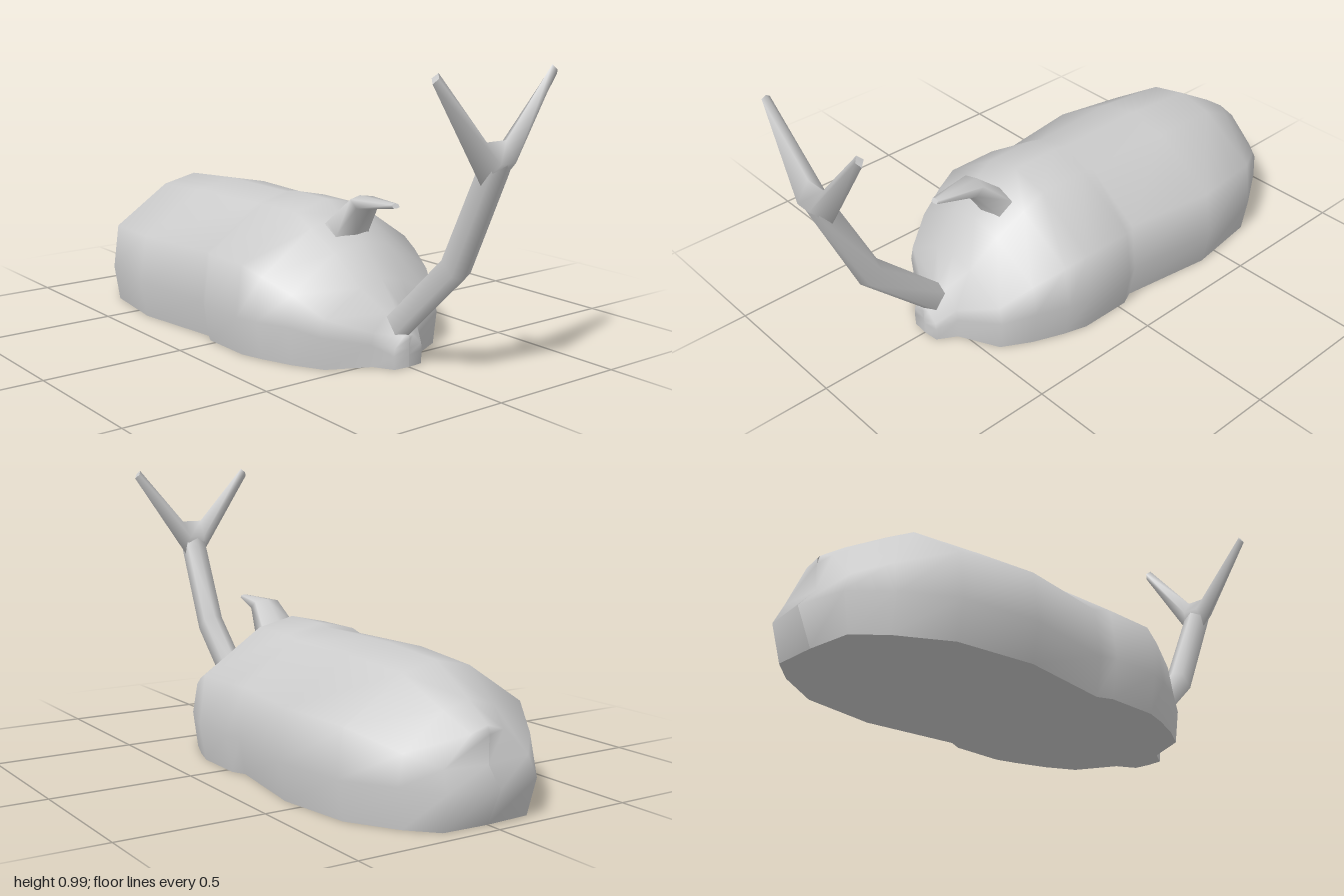
import * as THREE from 'three';

const V = (x, y, z) => new THREE.Vector3(x, y, z);

// Skin a list of rings with equal point counts; closed rings wrap around
function loft(rings, closed) {
  const n = rings[0].length, index = [];
  for (let i = 0; i < rings.length - 1; i++) {
    for (let j = 0; j < (closed ? n : n - 1); j++) {
      const k = (j + 1) % n;
      const a = i * n + j, b = i * n + k, c = a + n, d = b + n;
      index.push(a, b, c, b, d, c);
    }
  }
  const g = new THREE.BufferGeometry().setFromPoints(rings.flat());
  g.setIndex(index);
  g.computeVertexNormals();
  return g;
}

// Close both ends with flat caps
function capped(rings) {
  const cap = (ring) => {
    const c = ring.reduce((s, p) => s.add(p), V(0, 0, 0)).divideScalar(ring.length);
    return ring.map(() => c.clone());
  };
  const first = rings[0], last = rings[rings.length - 1];
  return [cap(first), first, ...rings, last, cap(last)];
}

// Six-sided horn section from its back and front points (z, y) and half width
function hornRing([zb, yb, zf, yf, w]) {
  const at = (x, t) => V(x, yb + (yf - yb) * t, zb + (zf - zb) * t);
  return [at(0, 1), at(w, 0.82), at(w, 0.18), at(0, 0), at(-w, 0.18), at(-w, 0.82)];
}

export function createModel() {
  const group = new THREE.Group();
  const material = new THREE.MeshStandardMaterial({ color: 0xcccccc });
  const add = (name, geometry) => {
    const mesh = new THREE.Mesh(geometry, material);
    mesh.name = name;
    group.add(mesh);
  };

  // Shell stations from tail to snout: z, half width, top height, rounding of the tail
  const stations = [
    [-1.0, 0, 0.29, 0.055],
    [-0.967, 0.17, 0.30, 0.03],
    [-0.85, 0.26, 0.36, 0],
    [-0.69, 0.365, 0.455, 0],
    [-0.42, 0.405, 0.475, 0],
    [-0.08, 0.355, 0.475, 0],
    [-0.03, 0.38, 0.485, 0],
    [0.16, 0.38, 0.485, 0],
    [0.24, 0.355, 0.44, 0],
    [0.35, 0.31, 0.37, 0],
    [0.45, 0.25, 0.265, 0],
    [0.52, 0.1, 0.18, 0],
    [0.585, 0.06, 0.11, 0],
    [0.59, 0, 0.1, 0],
  ];
  const shell = stations.map(([z, w, h, r]) => {
    const k = h / 0.475;
    const half = [
      [0.94 * w, 0, r],
      [w, 0.13 * Math.min(1, k * 1.5), 0],
      [0.94 * w, 0.3 * k, r],
      [0.36 * w, 0.445 * k, r],
    ];
    return [
      ...half.map(([x, y, dz]) => V(x, y, z + dz)),
      V(0, h, z + r),
      ...half.slice().reverse().map(([x, y, dz]) => V(-x, y, z + dz)),
    ];
  });
  add('bodyShell', loft(shell, false));

  // Flat underside spanning the lower rim
  add('underside', loft(shell.map((s) => [s[s.length - 1].clone(), s[0].clone()]), false));

  // Long curved head horn
  add('headHornStem', loft(capped([
    [0.46, 0.13, 0.54, 0.05, 0.04],
    [0.52, 0.18, 0.59, 0.11, 0.04],
    [0.76, 0.41, 0.83, 0.34, 0.04],
    [0.89, 0.68, 0.98, 0.68, 0.04],
    [0.906, 0.72, 0.997, 0.72, 0.038],
  ].map(hornRing)), true));

  // Forked tip, skinned from one prong end to the other
  const prongRing = (s, inner) => inner
    ? [V(s * 0.04, 0.78, 0.95), V(s * 0.03, 0.72, 1.0), V(s * 0.04, 0.65, 0.93), V(s * 0.03, 0.72, 0.9)]
    : [V(s * 0.23, 0.99, 0.945), V(s * 0.24, 0.975, 0.957), V(s * 0.252, 0.96, 0.945), V(s * 0.24, 0.975, 0.928)];
  add('headHornFork', loft(capped([
    prongRing(-1, false), prongRing(-1, true), prongRing(1, true), prongRing(1, false),
  ]), true));

  // Short forward-pointing horn on the back
  add('backHorn', loft(capped([
    [0.2, 0.41, 0.32, 0.34, 0.085],
    [0.235, 0.44, 0.315, 0.38, 0.07],
    [0.335, 0.525, 0.385, 0.485, 0.048],
    [0.51, 0.525, 0.52, 0.51, 0.014],
  ].map(hornRing)), true));

  return group;
}
